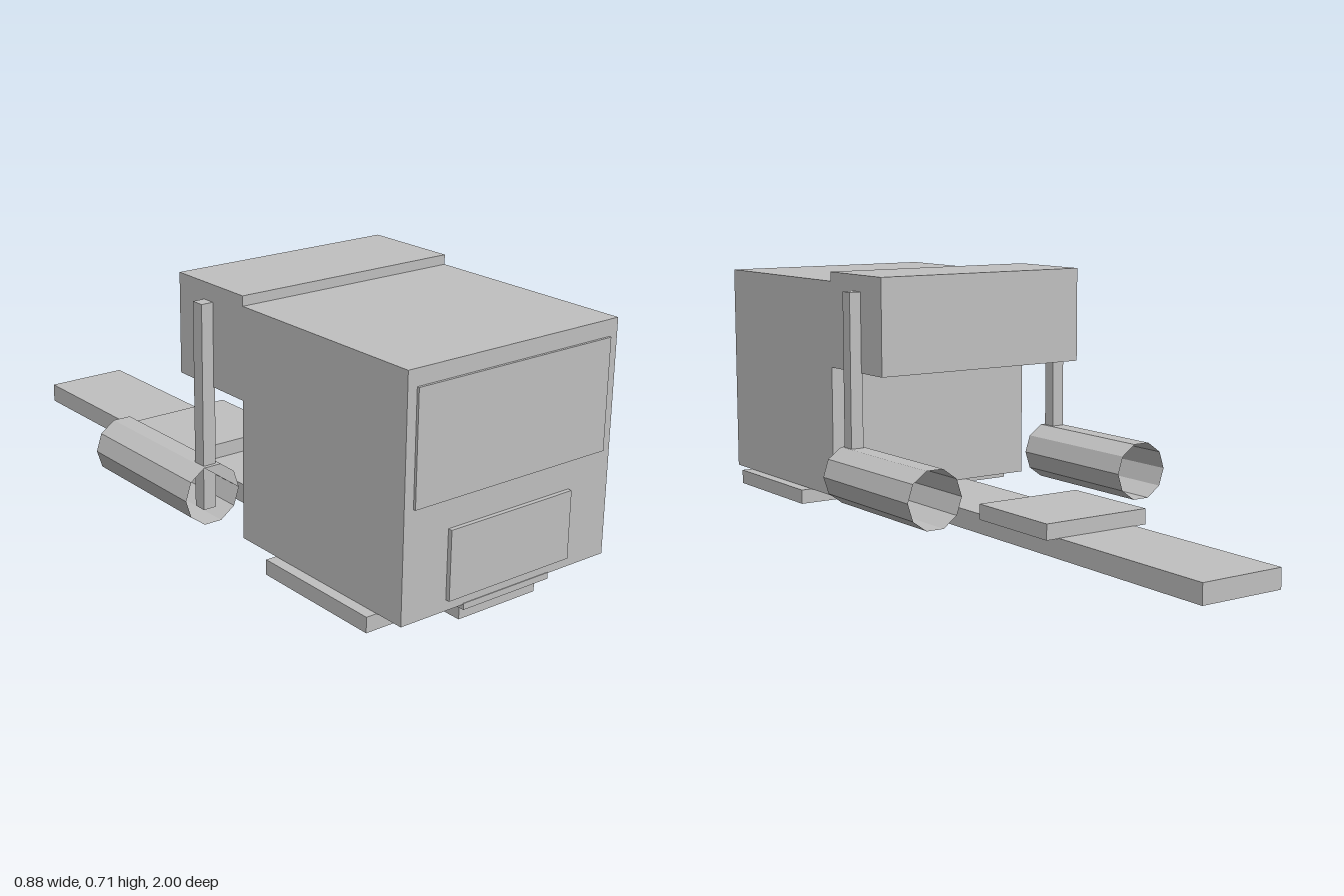
import * as THREE from 'three';

export function createModel() {
  const model = new THREE.Group();
  model.name = 'truckTractor';

  const grey = new THREE.MeshStandardMaterial({ color: 0xc0c0c0, flatShading: true, side: THREE.DoubleSide });
  grey.name = 'plain grey';

  const add = (name, geometry, parent = model) => {
    const mesh = new THREE.Mesh(geometry, grey);
    mesh.name = name;
    parent.add(mesh);
    return mesh;
  };

  // Box given by its extents along each axis
  const box = (name, [x0, x1], [y0, y1], [z0, z1]) =>
    add(name, new THREE.BoxGeometry(x1 - x0, y1 - y0, z1 - z0))
      .position.set((x0 + x1) / 2, (y0 + y1) / 2, (z0 + z1) / 2);

  // Chassis
  box('chassisRail', [-0.128, 0.128], [0.003, 0.059], [-1, 0.96]);
  box('couplingPlate', [-0.167, 0.167], [0.058, 0.102], [-0.445, -0.137]);
  box('sideSteps', [-0.37, 0.37], [0.016, 0.058], [0.505, 0.9]);
  box('frontLip', [-0.143, 0.143], [0.045, 0.062], [0.95, 0.99]);

  // Cab and overhanging rear section
  box('cab', [-0.34, 0.34], [0.059, 0.69], [0.365, 0.988]);
  box('rearOverhang', [-0.34, 0.34], [0.44, 0.717], [0.085, 0.366]);

  // Thin plates on the cab face
  box('windscreen', [-0.312, 0.312], [0.349, 0.646], [0.987, 0.995]);
  box('grille', [-0.2, 0.2], [0.088, 0.272], [0.992 - 0.001, 1]);
  box('grilleBacking', [-0.2, 0.2], [0.088, 0.272], [0.986, 0.992]);

  // Ten-sided open tanks, each with a partial front cap, and exhaust stacks
  const radius = 0.085, length = 0.45, sides = 10;
  const capShape = new THREE.Shape(
    [0, 1, 2, 3].map((i) => {
      const a = (i * 2 * Math.PI) / sides;
      return new THREE.Vector2(radius * Math.cos(a), radius * Math.sin(a));
    })
  );
  for (const [side, s] of [['left', 1], ['right', -1]]) {
    const tank = new THREE.Group();
    tank.name = side + 'Tank';
    tank.position.set(s * 0.354, 0.146, 0.022);
    model.add(tank);
    add(side + 'TankWall', new THREE.CylinderGeometry(radius, radius, length, sides, 1, true, Math.PI / 2)
      .rotateX(Math.PI / 2), tank);
    add(side + 'TankCap', new THREE.ShapeGeometry(capShape), tank).position.z = length / 2;

    const xs = [s * 0.336, s * 0.375].sort((a, b) => a - b);
    box(side + 'Stack', xs, [0.102, 0.67], [0.197, 0.236]);
  }

  return model;
}
